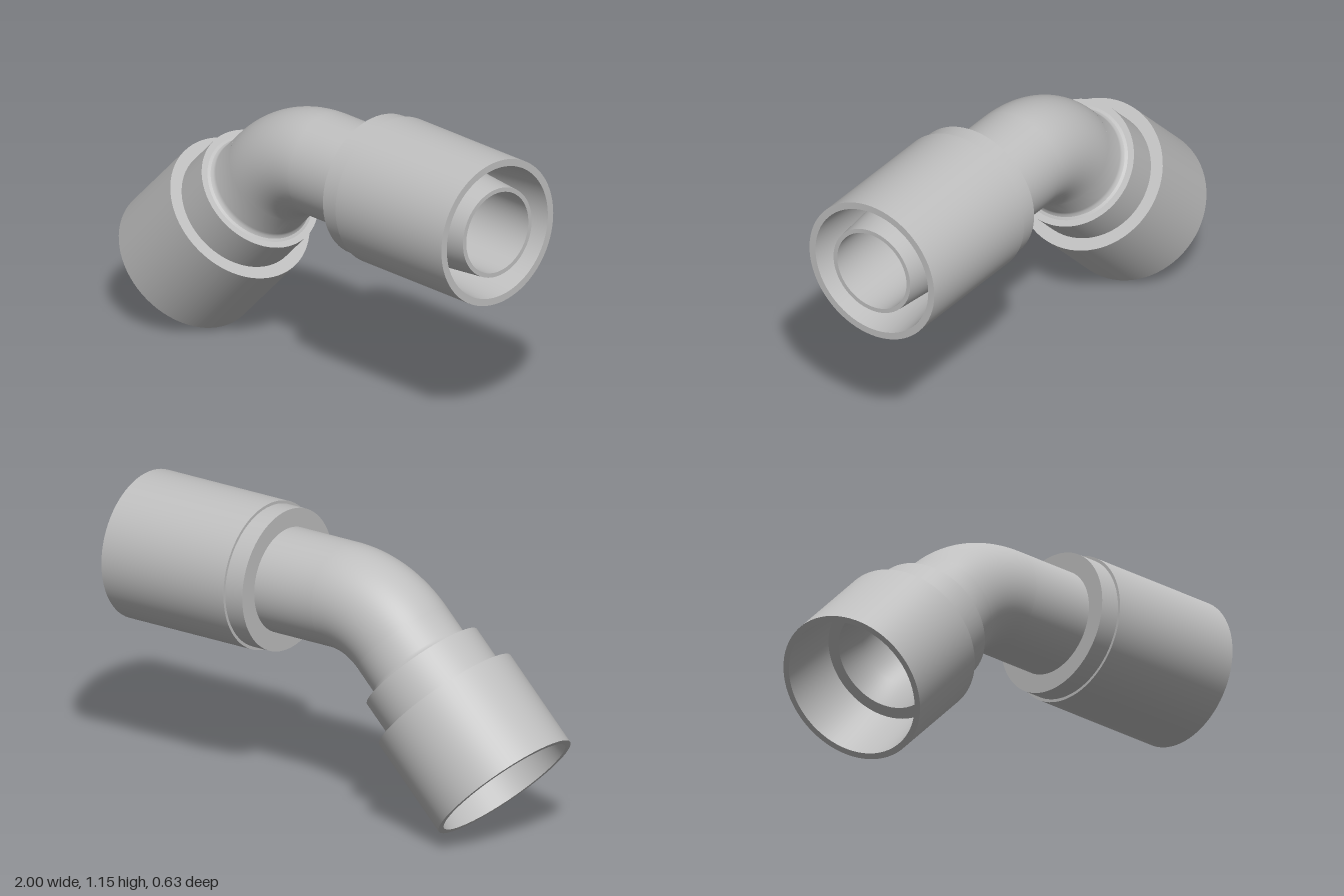
import * as THREE from 'three';
import { toCreasedNormals } from 'three/addons/utils/BufferGeometryUtils.js';

const SEG = 72;
const PIPE = 0.213, BORE = 0.167, BEND = 0.41;

export function createModel() {
  const steel = new THREE.MeshStandardMaterial({ color: 0xbfbfbf, side: THREE.DoubleSide });
  steel.name = 'steel grey';
  const model = new THREE.Group();
  model.name = 'angledPipeFitting';

  const add = (parent, name, geometry) => {
    const mesh = new THREE.Mesh(geometry, steel);
    mesh.name = name;
    parent.add(mesh);
    return mesh;
  };
  // Turned part from [radius, distance along the leg] pairs
  const turned = (parent, name, profile) => add(parent, name, toCreasedNormals(
    new THREE.LatheGeometry(profile.map(([r, d]) => new THREE.Vector2(r, d)), SEG), 0.5));

  // Straight leg running along its own +y away from the bend
  const leg = (name, x, y, angle) => {
    const group = new THREE.Group();
    group.name = name;
    group.position.set(x, y, 0);
    group.rotation.z = angle;
    model.add(group);
    return group;
  };

  // 45 degree elbow, outer skin and bore
  for (const [name, radius] of [['elbow', PIPE], ['elbowBore', BORE]]) {
    const bend = add(model, name, new THREE.TorusGeometry(BEND, radius, SEG, 32, Math.PI / 4));
    bend.position.set(0.02, 0.85 - BEND, 0);
    bend.rotation.z = Math.PI / 2;
  }

  // Level leg: pipe, then a sleeve with a tapered ring groove round the inner tube
  const level = leg('levelLeg', 0.02, 0.85, -Math.PI / 2);
  turned(level, 'levelPipe', [[PIPE, 0], [PIPE, 0.29]]);
  turned(level, 'sleeve', [
    [PIPE, 0.285], [0.289, 0.285], [0.289, 0.37], [0.301, 0.37], [0.301, 0.98],
    [0.272, 0.98], [0.242, 0.65], [0.212, 0.65], [0.185, 0.98], [BORE, 0.98], [BORE, 0],
  ]);

  // Sloping leg: pipe with a small fillet, then a stepped nut with an open socket
  const sloping = leg('slopingLeg', -0.27, 0.73, Math.PI * 0.75);
  turned(sloping, 'slopingPipe', [
    [PIPE, 0], [PIPE, 0.112], [0.216, 0.124], [0.224, 0.133], [0.236, 0.137],
  ]);
  turned(sloping, 'nut', [
    [PIPE, 0.137], [0.262, 0.137], [0.262, 0.3], [0.313, 0.3], [0.313, 0.72],
    [0.288, 0.72], [0.262, 0.46], [0.215, 0.46], [BORE, 0.36], [BORE, 0],
  ]);

  return model;
}
